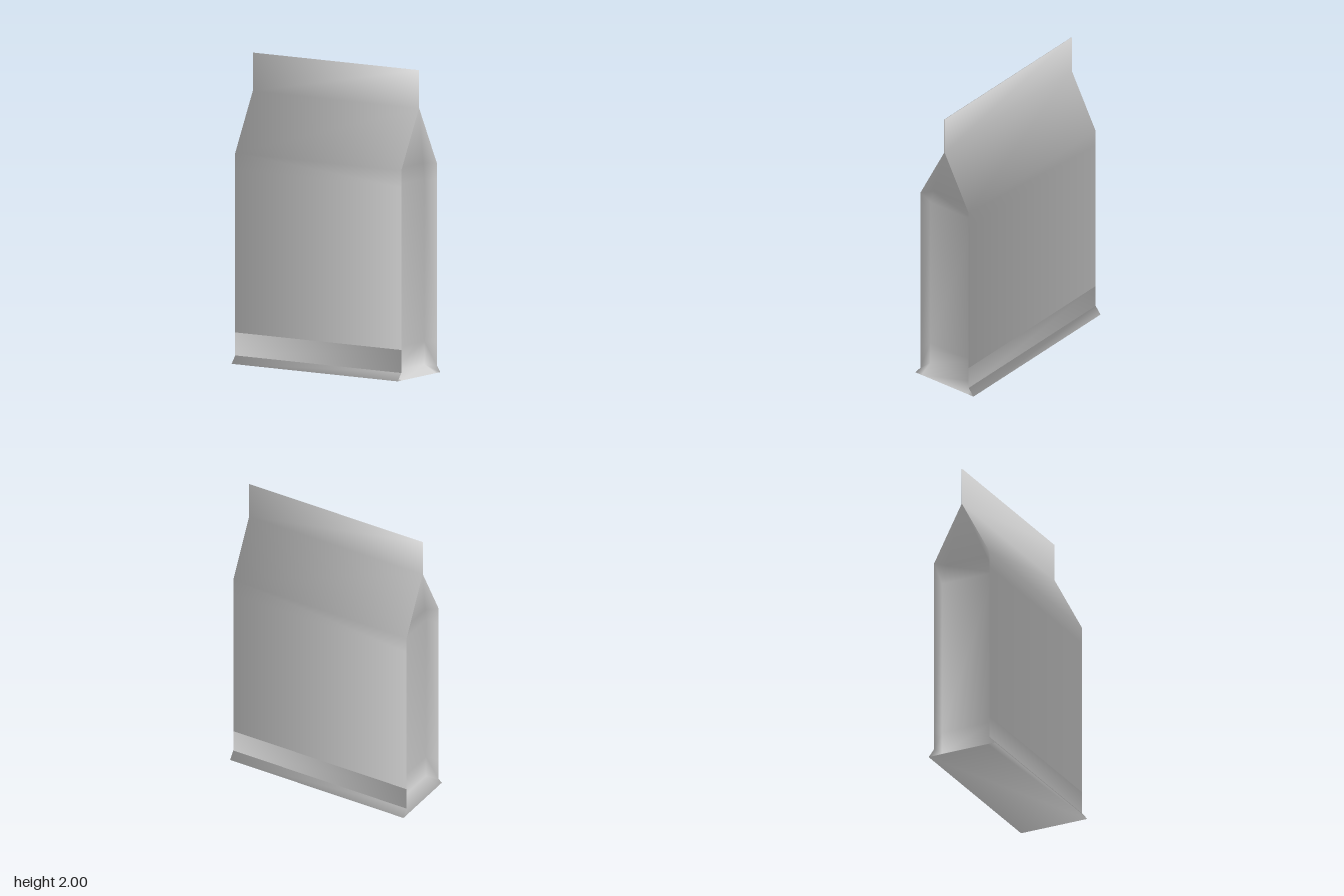
import * as THREE from 'three';

const HALF_WIDTH = 0.653;

// Levels from foot to top seal:
// height, half depth of the panels, inset of the side, half depth of the side
const LEVELS = [
  [0, 0.24, 0, 0.19],
  [0.05, 0.2, 0.09, 0.19],
  [0.2, 0.2, 0.09, 0.19],
  [1.26, 0.2, 0.09, 0.19],
  [1.37, 0.2, 0.07, 0.147],
  [1.75, 0.002, 0, 0.001],
  [2, 0.002, 0, 0.001],
];
const SHOULDER = 3;

// Eight-cornered section: front and back panels with the sides set in between their seams
function section([y, z, inset, sideZ]) {
  const w = HALF_WIDTH, s = w - inset;
  return [[w, z], [-w, z], [-s, sideZ], [-s, -sideZ], [-w, -z], [w, -z], [s, -sideZ], [s, sideZ]]
    .map(([x, depth]) => new THREE.Vector3(x, y, depth));
}

// Smooth normals, each face weighted by its angle at the corner
function smoothNormals(points, faces) {
  const normals = points.map(() => new THREE.Vector3());
  for (const face of faces) {
    face.forEach((corner, k) => {
      const p = points[corner];
      const u = points[face[(k + 1) % 3]].clone().sub(p);
      const v = points[face[(k + 2) % 3]].clone().sub(p);
      const normal = u.clone().cross(v).normalize();
      normals[corner].addScaledVector(normal, u.angleTo(v));
    });
  }
  return normals.map((n) => n.normalize());
}

export function createModel() {
  const group = new THREE.Group();
  group.name = 'pouch';

  const paper = new THREE.MeshStandardMaterial({ color: 0xcccccc, side: THREE.DoubleSide });
  paper.name = 'pale grey paper';

  const points = LEVELS.flatMap(section);
  const faces = [];

  // Panels, seams and sides; the seam diagonals mirror each other and swap at the shoulder
  for (let row = 0; row < LEVELS.length - 1; row++) {
    for (let i = 0; i < 8; i++) {
      const a = row * 8 + i, b = row * 8 + (i + 1) % 8;
      const c = b + 8, d = a + 8;
      if ((i % 4 === 1) !== (row === SHOULDER)) faces.push([b, a, c], [a, d, c]);
      else faces.push([b, a, d], [b, d, c]);
    }
  }

  // Flat base and the thin top edge of the seal
  const top = (LEVELS.length - 1) * 8;
  for (let i = 1; i < 5; i++) {
    faces.push([0, i, i + 1], [top, top + i + 1, top + i]);
  }

  const geometry = new THREE.BufferGeometry().setFromPoints(points);
  geometry.setIndex(faces.flat());
  const normals = smoothNormals(points, faces).flatMap((n) => n.toArray());
  geometry.setAttribute('normal', new THREE.Float32BufferAttribute(normals, 3));

  const body = new THREE.Mesh(geometry, paper);
  body.name = 'seamedPouch';
  group.add(body);

  return group;
}
